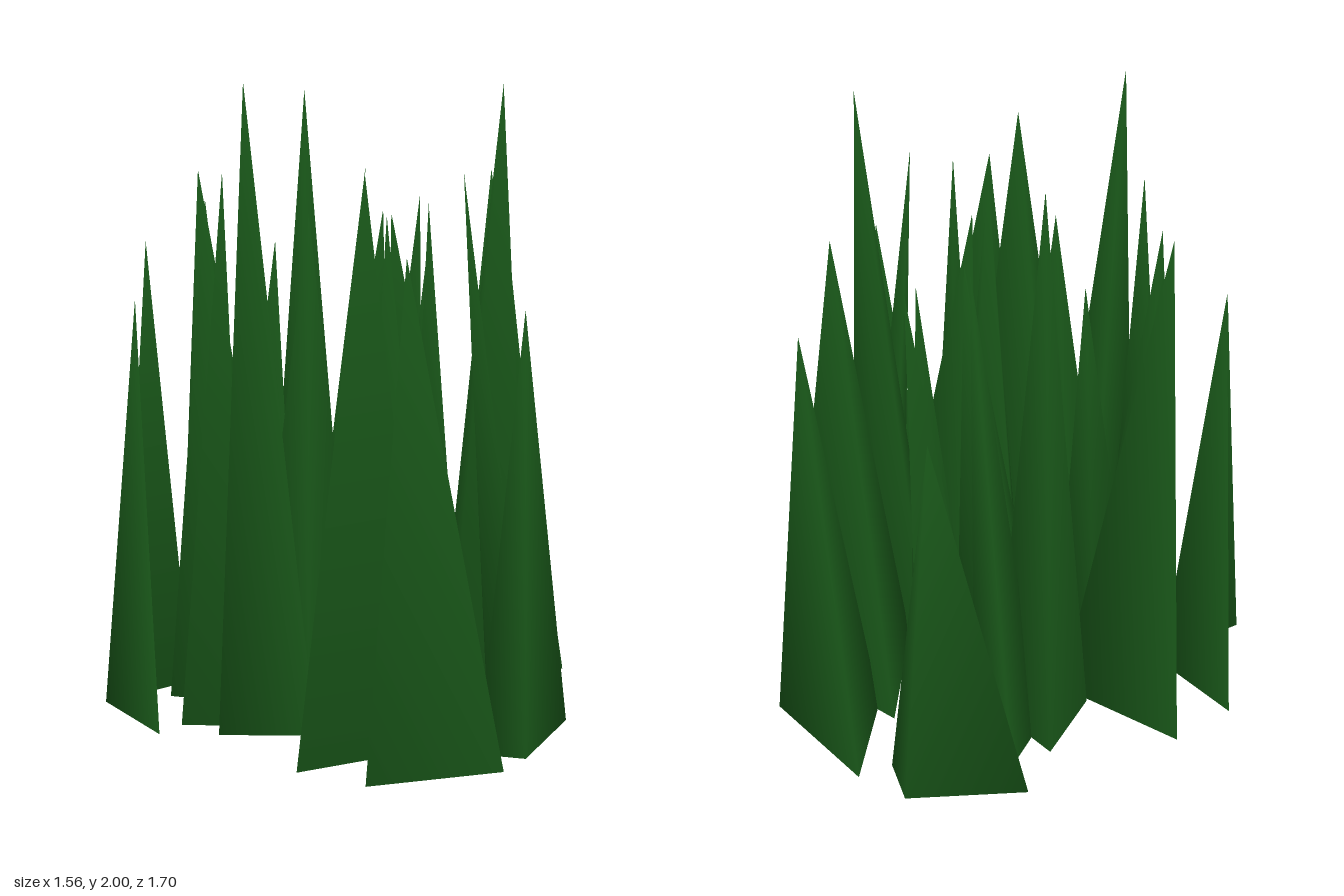
import * as THREE from 'three';

const material = new THREE.MeshStandardMaterial({ color: 0x175217, side: THREE.DoubleSide });

// One blade: a hollow pointed spike rising from an open base [x, z, x, z, ...]; the tip may overhang
function blade(name, tip, base) {
  const corners = [];
  for (let i = 0; i < base.length; i += 2) corners.push([base[i], 0, base[i + 1]]);
  const n = corners.length;
  const cx = corners.reduce((s, c) => s + c[0], 0) / n;
  const cz = corners.reduce((s, c) => s + c[2], 0) / n;
  const angle = (c) => Math.atan2(c[2] - cz, c[0] - cx);
  corners.sort((a, b) => angle(a) - angle(b));

  const index = [];
  for (let i = 0; i < n; i++) index.push((i + 1) % n, i, n);
  const geometry = new THREE.BufferGeometry();
  geometry.setAttribute('position', new THREE.Float32BufferAttribute([...corners, tip].flat(), 3));
  geometry.setIndex(index);
  geometry.computeVertexNormals();
  const mesh = new THREE.Mesh(geometry, material);
  mesh.name = name;
  return mesh;
}

// A named clump of blades, each given as [tip, base corners]
function clump(name, blades) {
  const group = new THREE.Group();
  group.name = name + 'Clump';
  blades.forEach(([tip, base], i) => group.add(blade(`${name}Blade${i + 1}`, tip, base)));
  return group;
}

export function createModel() {
  const grass = new THREE.Group();
  grass.name = 'grassTuft';

  grass.add(clump('front', [
    [[0.04, 1.73, 0.57], [-0.11, 0.3, 0.25, 0.54, -0.165, 0.725]],
    [[0.15, 1.5, 0.72], [0.16, 0.56, 0.44, 0.745, 0.03, 0.845]],
    [[-0.31, 2, 0.32], [-0.4, 0.39, -0.1, 0.41, -0.13, 0.22, -0.25, 0.2]],
    [[0.12, 1.6, 0.33], [0.03, 0.31, 0.21, 0.17, 0.27, 0.48, 0.03, 0.38]],
    [[0.24, 1.64, 0.4], [0.25, 0.16, 0.36, 0.48, 0.17, 0.36]],
    [[0.52, 1.33, 0.5], [0.38, 0.595, 0.7, 0.295, 0.52, 0.64]],
  ]));

  grass.add(clump('right', [
    [[-0.64, 1.5, -0.16], [-0.74, -0.385, -0.51, -0.16, -0.73, 0.02]],
    [[-0.66, 1.33, 0.08], [-0.78, 0.05, -0.585, 0.375, -0.67, -0.02]],
    [[-0.44, 1.64, -0.04], [-0.57, 0, -0.25, 0.11, -0.38, -0.05]],
    [[-0.215, 1.5, -0.155], [-0.28, -0.19, -0.14, 0.03, -0.41, -0.05]],
    [[-0.38, 1.73, 0.13], [-0.49, 0.16, -0.31, 0.31, -0.52, 0.29]],
    [[-0.11, 1.6, 0.11], [-0.2, -0.02, 0.06, 0.17, -0.12, 0.26, -0.31, 0.23]],
  ]));

  grass.add(clump('left', [
    [[0.15, 1.6, 0.1], [0.145, -0.14, 0.47, 0.12, 0.16, 0.2]],
    [[0.5, 2, 0.1], [0.45, -0.14, 0.61, 0.13, 0.33, 0.16, 0.32, -0.08]],
    [[0.36, 1.73, 0.26], [0.47, 0.11, 0.59, 0.285, 0.45, 0.325]],
    [[0.52, 1.73, -0.33], [0.38, -0.5, 0.78, -0.245, 0.38, -0.08]],
    [[0.6, 1.5, -0.49], [0.46, -0.77, 0.775, -0.47, 0.44, -0.43]],
  ]));

  grass.add(clump('back', [
    [[-0.47, 1.73, -0.26], [-0.565, -0.53, -0.17, -0.31, -0.51, -0.04]],
    [[-0.11, 2, -0.5], [-0.15, -0.615, 0.05, -0.43, -0.11, -0.28, -0.26, -0.37]],
    [[0.145, 1.6, -0.215], [-0.1, -0.48, 0.19, -0.3, -0.08, -0.065]],
    [[0.1, 1.73, -0.48], [-0.03, -0.69, 0.1, -0.61, -0.11, -0.49]],
    [[0.29, 1.64, -0.47], [0.28, -0.625, 0.08, -0.38, 0.3, -0.34]],
    [[0.295, 1.5, -0.19], [0.31, -0.485, 0.355, -0.235, 0.13, -0.25]],
    [[0.2, 1.33, -0.76], [-0.09, -0.795, 0.3, -0.85, 0.36, -0.71]],
  ]));

  return grass;
}
